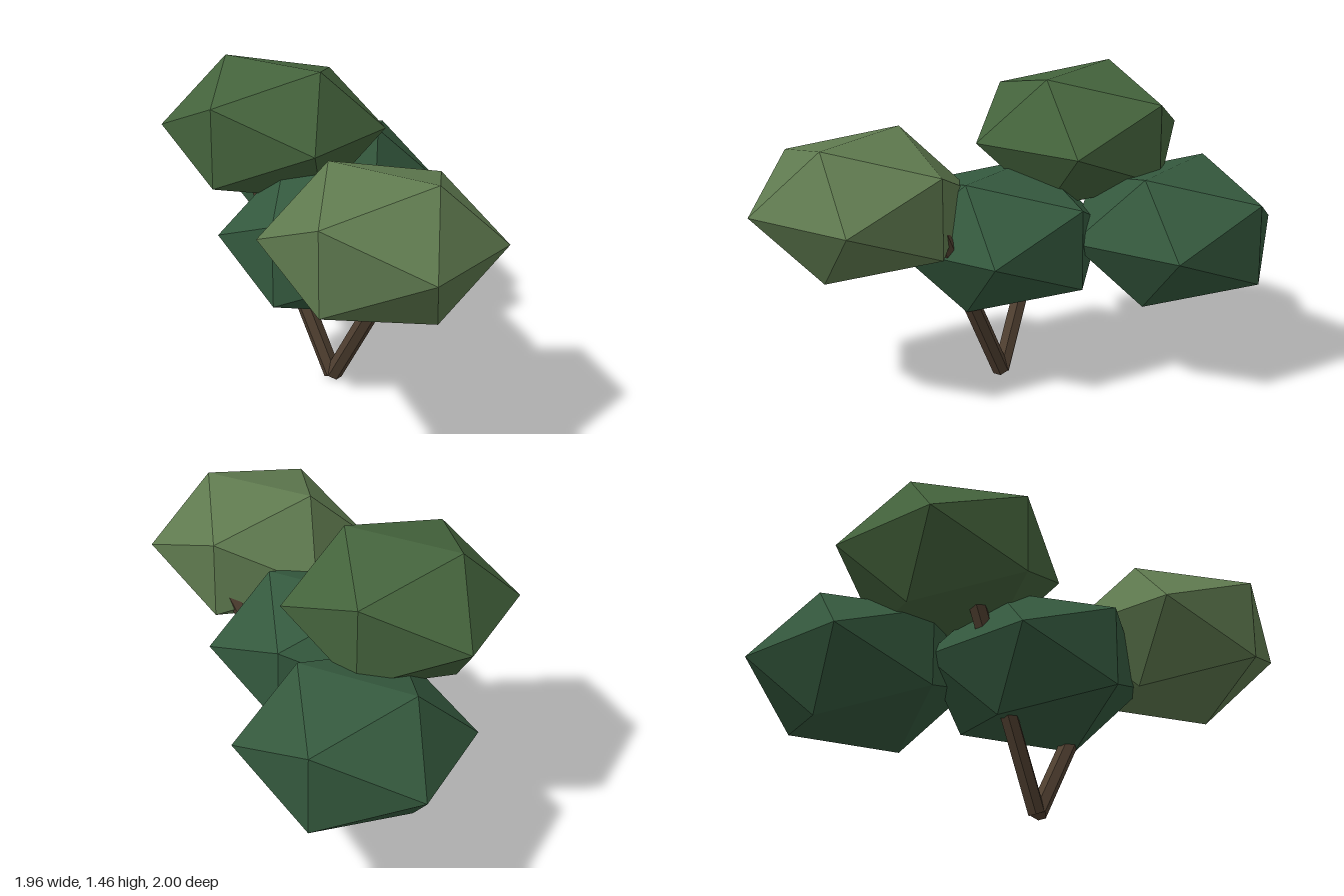
import * as THREE from 'three';

const flat = (color) => new THREE.MeshStandardMaterial({ color, flatShading: true });

export function createModel() {
  const tree = new THREE.Group();
  tree.name = 'tree';

  // Leaf clumps: flattened icosahedra
  const leaf = new THREE.IcosahedronGeometry(1, 0);
  const clumps = [
    ['upperLeftLeaves', [-0.49, 1.152, -0.01], 0x44633c],
    ['rightLeaves', [0.52, 0.947, 0.535], 0x5f7a4f],
    ['centreLeaves', [-0.03, 0.723, 0.137], 0x34593e],
    ['backLeaves', [-0.52, 0.737, -0.535], 0x34583d],
  ];
  for (const [name, position, color] of clumps) {
    const clump = new THREE.Mesh(leaf, flat(color));
    clump.name = name;
    clump.position.set(...position);
    clump.scale.set(0.543, 0.367, 0.544);
    tree.add(clump);
  }

  // Two leaning trunks that meet at the ground
  const bark = flat(0x4f3f30);
  const up = new THREE.Vector3(0, 1, 0);
  const addTrunk = (name, from, to) => {
    const a = new THREE.Vector3(...from);
    const b = new THREE.Vector3(...to);
    const trunk = new THREE.Mesh(new THREE.CylinderGeometry(0.043, 0.043, a.distanceTo(b), 6), bark);
    trunk.name = name;
    trunk.position.copy(a).add(b).multiplyScalar(0.5);
    trunk.quaternion.setFromUnitVectors(up, b.sub(a).normalize());
    tree.add(trunk);
  };
  addTrunk('leftTrunk', [-0.035, 0.02, 0.14], [-0.5, 0.97, 0.14]);
  addTrunk('rightTrunk', [-0.03, 0.022, 0.14], [0.48, 0.9, 0.14]);

  return tree;
}
